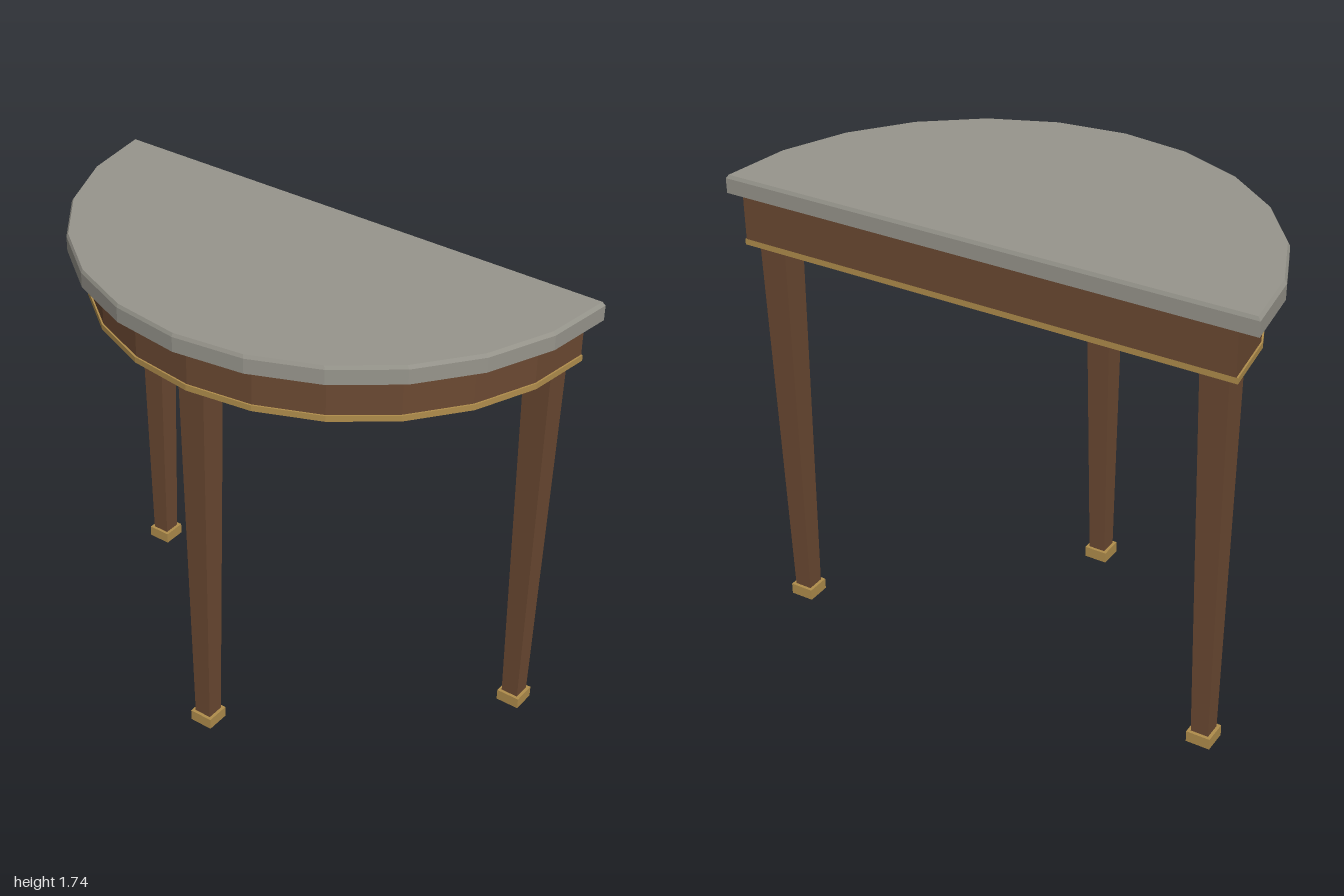
import * as THREE from 'three';

const stone = new THREE.MeshStandardMaterial({ name: 'grey stone', color: 0x97958c });
const wood = new THREE.MeshStandardMaterial({ name: 'brown wood', color: 0x6b4932 });
const brass = new THREE.MeshStandardMaterial({ name: 'brass', color: 0xb08d4c });

const BACK = -0.5;

function addMesh(parent, name, geometry, material) {
  const mesh = new THREE.Mesh(geometry, material);
  mesh.name = name;
  parent.add(mesh);
  return mesh;
}

// Faceted half disc with its straight side at the back; the upper face may be inset
function halfDisc(radius, bottom, top, inset = 0) {
  const points = [];
  for (let i = 0; i <= 12; i++) {
    const a = (i / 12) * Math.PI;
    points.push(new THREE.Vector2(radius * Math.cos(a), -BACK - radius * Math.sin(a)));
  }
  const geometry = new THREE.ExtrudeGeometry(new THREE.Shape(points), { depth: top - bottom, bevelEnabled: false });
  geometry.rotateX(-Math.PI / 2).translate(0, bottom, 0);
  const p = geometry.attributes.position;
  const middle = (top + bottom) / 2;
  for (let i = 0; i < p.count; i++) {
    if (p.getY(i) > middle) {
      p.setX(i, p.getX(i) * (1 - inset));
      p.setZ(i, p.getZ(i) * (1 - inset));
    }
  }
  geometry.computeVertexNormals();
  return geometry;
}

// Square post, wider at the top
function taperedPost(bottomWidth, topWidth, bottom, top) {
  const geometry = new THREE.BoxGeometry(1, top - bottom, 1);
  const p = geometry.attributes.position;
  for (let i = 0; i < p.count; i++) {
    const w = p.getY(i) > 0 ? topWidth : bottomWidth;
    p.setX(i, p.getX(i) * w);
    p.setZ(i, p.getZ(i) * w);
  }
  geometry.translate(0, (top + bottom) / 2, 0);
  geometry.computeVertexNormals();
  return geometry;
}

export function createModel() {
  const table = new THREE.Group();
  table.name = 'halfRoundTable';

  // Stone top with a small chamfer
  const top = new THREE.Group();
  top.name = 'tableTop';
  addMesh(top, 'slab', halfDisc(1, 1.667, 1.722), stone);
  addMesh(top, 'chamfer', halfDisc(1, 1.722, 1.735, 0.01), stone);
  table.add(top);

  // Wooden apron and the brass plate below it
  addMesh(table, 'apron', halfDisc(0.932, 1.51, 1.667), wood);
  addMesh(table, 'brassTrim', halfDisc(0.938, 1.488, 1.51), brass);

  // Two legs at the back and one at the front
  const legs = [['leftLeg', 0.845, -0.42], ['rightLeg', -0.845, -0.42], ['frontLeg', 0, 0.36]];
  for (const [name, x, z] of legs) {
    const leg = new THREE.Group();
    leg.name = name;
    leg.position.set(x, 0, z);
    addMesh(leg, 'post', taperedPost(0.066, 0.104, 0.03, 1.495), wood);
    addMesh(leg, 'foot', new THREE.BoxGeometry(0.09, 0.043, 0.09).translate(0, 0.0215, 0), brass);
    table.add(leg);
  }
  return table;
}
